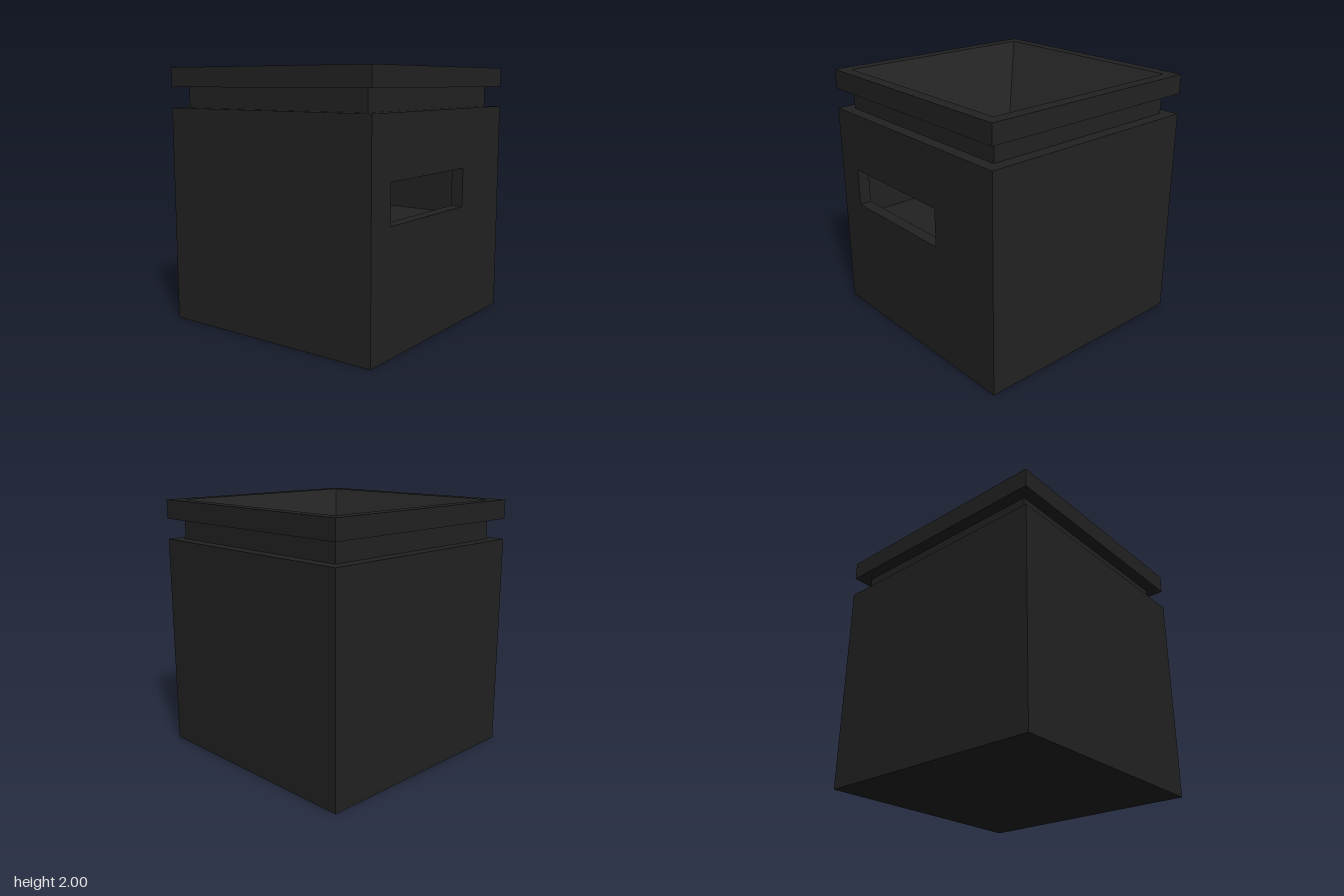
import * as THREE from 'three';

const OUT = 0.94, IN = 0.845, BODY_TOP = 1.69, FLOOR = 0.77;

export function createModel() {
  const model = new THREE.Group();
  const material = new THREE.MeshStandardMaterial({ color: 0x222222, flatShading: true });

  const add = (name, geometry, x = 0, y = 0, z = 0) => {
    const mesh = new THREE.Mesh(geometry, material);
    mesh.name = name;
    mesh.position.set(x, y, z);
    model.add(mesh);
  };

  const wall = OUT - IN;
  const wallHeight = BODY_TOP - FLOOR;
  const wallY = FLOOR + wallHeight / 2;

  // Solid base whose top is the chamber floor
  add('base', new THREE.BoxGeometry(OUT * 2, FLOOR, OUT * 2), 0, FLOOR / 2, 0);

  // Side and back walls
  for (const [name, side] of [['leftWall', 1], ['rightWall', -1]]) {
    add(name, new THREE.BoxGeometry(wall, wallHeight, OUT * 2), side * (OUT + IN) / 2, wallY, 0);
  }
  add('backWall', new THREE.BoxGeometry(IN * 2, wallHeight, wall), 0, wallY, -(OUT + IN) / 2);

  // Front wall with an off-centre rectangular opening
  const rectangle = (Type, x0, y0, x1, y1) => new Type([
    new THREE.Vector2(x0, y0), new THREE.Vector2(x1, y0),
    new THREE.Vector2(x1, y1), new THREE.Vector2(x0, y1),
  ]);
  const front = rectangle(THREE.Shape, -IN, FLOOR, IN, BODY_TOP);
  front.holes.push(rectangle(THREE.Path, -0.71, 0.93, 0.31, 1.23));
  add('frontWall', new THREE.ExtrudeGeometry(front, { depth: wall, bevelEnabled: false }), 0, 0, IN);

  // Square funnel with recessed neck and overhanging rim, open into the chamber
  const profile = [
    [0.31, 1.39], [IN, 1.39], [IN, 1.85], [OUT, 1.85], [OUT, 2], [IN, 2], [0.31, 1.39],
  ].map(([halfWidth, y]) => new THREE.Vector2(halfWidth * Math.SQRT2, y));
  const funnel = new THREE.LatheGeometry(profile, 4, Math.PI / 4).toNonIndexed();
  funnel.computeVertexNormals();
  add('funnel', funnel);

  return model;
}
